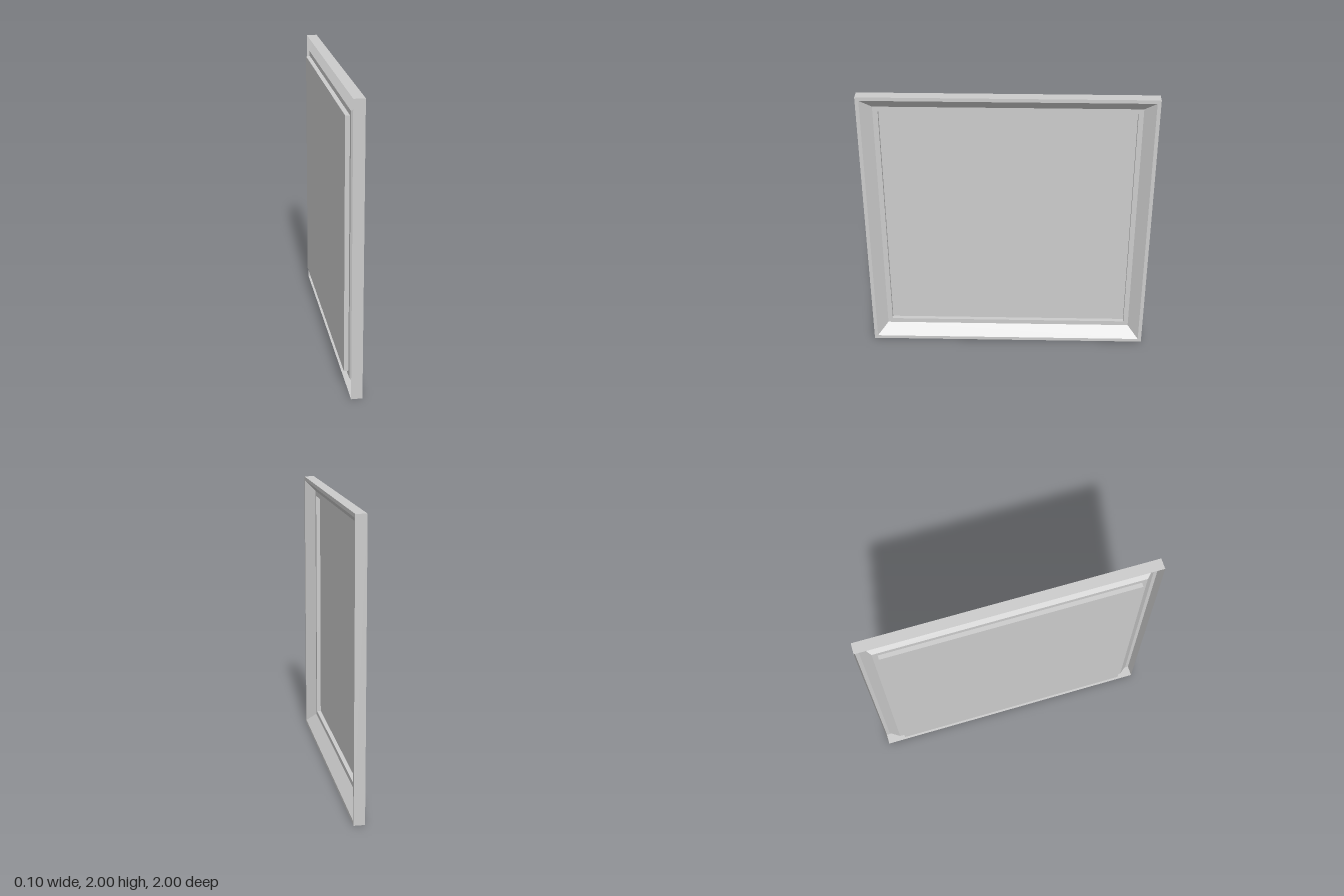
import * as THREE from 'three';

const material = new THREE.MeshStandardMaterial({ color: 0xcccccc, side: THREE.DoubleSide, flatShading: true });

// Square corners as [z, y] signs, clockwise seen from +x
const corners = [[1, 1], [-1, 1], [-1, -1], [1, -1]];

// Mitred band joining two square loops, each given as [x, half size]
function band(name, [xa, ha], [xb, hb]) {
  const pos = [];
  for (let i = 0; i < 4; i++) {
    const p = corners[i], q = corners[(i + 1) % 4];
    const a0 = [xa, 1 + p[1] * ha, p[0] * ha], a1 = [xa, 1 + q[1] * ha, q[0] * ha];
    const b0 = [xb, 1 + p[1] * hb, p[0] * hb], b1 = [xb, 1 + q[1] * hb, q[0] * hb];
    pos.push(...a0, ...b0, ...b1, ...a0, ...b1, ...a1);
  }
  const geometry = new THREE.BufferGeometry();
  geometry.setAttribute('position', new THREE.Float32BufferAttribute(pos, 3));
  geometry.computeVertexNormals();
  const mesh = new THREE.Mesh(geometry, material);
  mesh.name = name;
  return mesh;
}

export function createModel() {
  const group = new THREE.Group();
  group.name = 'squareTray';

  // Thin pressed sheet: section from the outer back edge in to the panel
  const section = [[-0.025, 1], [0.05, 1], [0.05, 0.975], [-0.02, 0.9], [-0.02, 0.865], [-0.05, 0.865]];
  const names = ['outerWall', 'rimLip', 'innerBevel', 'ledge', 'panelStep'];
  names.forEach((name, i) => group.add(band(name, section[i], section[i + 1])));

  // Recessed flat panel
  const panel = new THREE.Mesh(new THREE.PlaneGeometry(1.73, 1.73), material);
  panel.name = 'panel';
  panel.rotation.y = Math.PI / 2;
  panel.position.set(-0.05, 1, 0);
  group.add(panel);

  return group;
}
